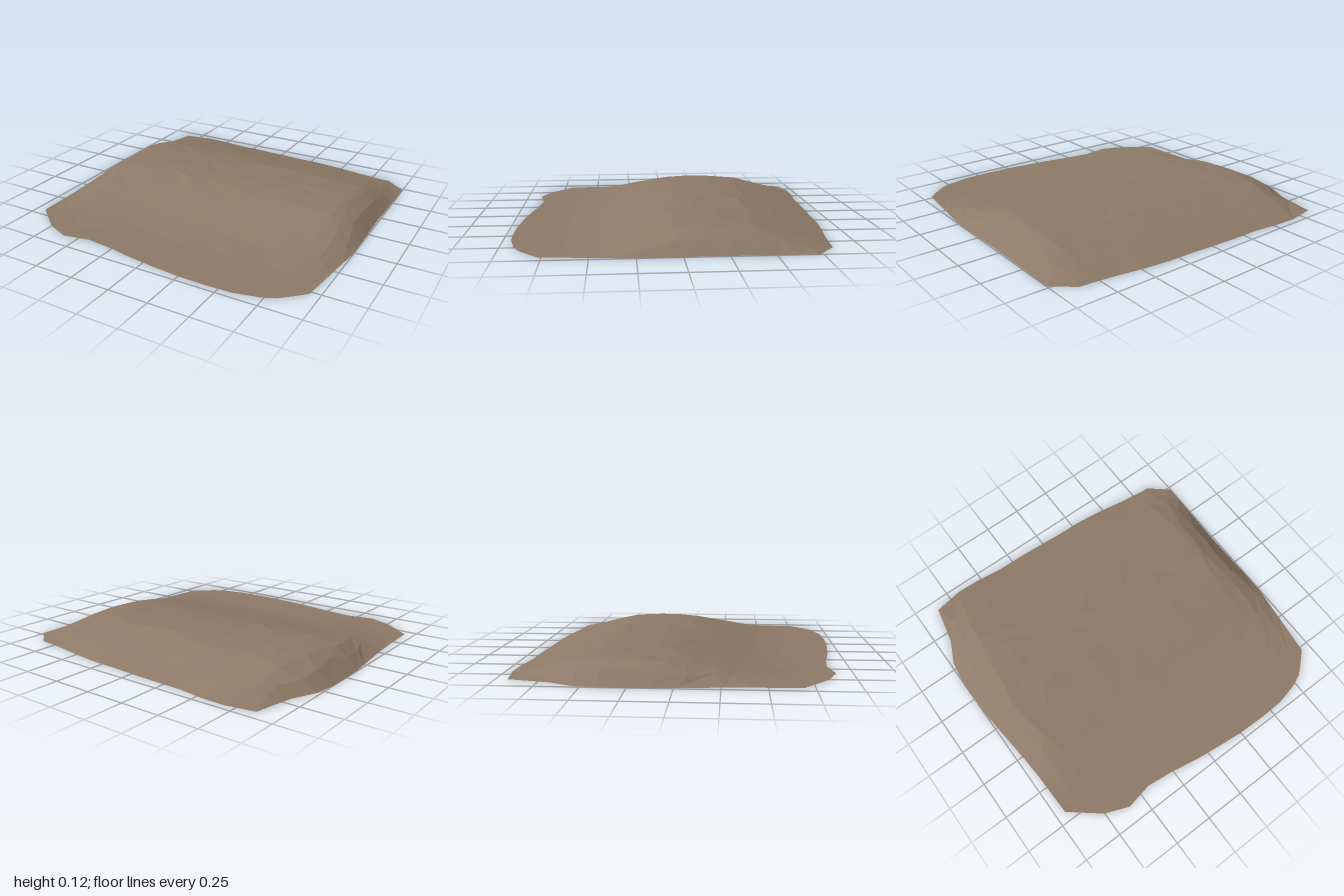
import * as THREE from 'three';

// Piecewise linear lookup in [t, value] pairs
function lookup(table, t) {
  for (let i = 1; i < table.length; i++) {
    const [a, va] = table[i - 1], [b, vb] = table[i];
    if (t <= b) return va + (vb - va) * (t - a) / (b - a);
  }
  return table[table.length - 1][1];
}

// Point on an outline side, spaced evenly along x (axis 0) or z (axis 1)
function along(side, axis, t) {
  const a = side[0][axis], b = side[side.length - 1][axis];
  const s = a + (b - a) * t;
  const other = lookup(side.map(p => [p[axis], p[1 - axis]]), s);
  return axis === 0 ? [s, other] : [other, s];
}

// Ragged outline as [x, z] points
const back = [[-0.86, -0.93], [-0.62, -0.97], [-0.4, -0.935], [-0.08, -0.93], [0.06, -0.915],
  [0.3, -0.91], [0.58, -0.88], [0.7, -0.85], [0.87, -0.84], [1, -0.73]];
const front = [[-0.94, 0.69], [-0.75, 0.845], [-0.61, 0.905], [-0.4, 0.865], [-0.04, 0.93],
  [0.32, 0.965], [0.66, 0.955], [0.82, 0.885], [0.94, 0.77]];
const minusX = [[-0.86, -0.93], [-0.91, -0.69], [-1, -0.5], [-1, -0.15], [-0.95, 0.35], [-0.94, 0.69]];
const plusX = [[1, -0.73], [0.99, -0.2], [1, 0.25], [0.94, 0.77]];

// Height: rise from the back rim (by row), fall to the flat front lip (by z), fall-off at both ends
const backRise = [[0, 0], [0.07, 0.035], [0.15, 0.073], [0.25, 0.112], [0.36, 0.12], [1, 0.12]];
const frontFall = [[-0.2, 0.12], [0, 0.112], [0.2, 0.074], [0.4, 0.035], [0.5, 0.02],
  [0.62, 0.007], [0.75, 0], [1, 0]];
const ends = [[0, 0], [0.05, 0.6], [0.1, 0.95], [0.16, 1], [0.86, 1], [0.9, 0.98],
  [0.935, 0.82], [0.965, 0.55], [1, 0]];

const columns = [0, 0.05, 0.1, 0.18, 0.27, 0.36, 0.45, 0.54, 0.63, 0.72, 0.81, 0.89, 0.93, 0.965, 1];
const rows = [0, 0.07, 0.15, 0.24, 0.33, 0.42, 0.5, 0.58, 0.66, 0.74, 0.83, 0.91, 1];

// Blend the four outline sides across the patch
function patchPoint(u, v) {
  const b = along(back, 0, u), f = along(front, 0, u);
  const l = along(minusX, 1, v), r = along(plusX, 1, v);
  return [0, 1].map(k => (1 - v) * b[k] + v * f[k] + (1 - u) * l[k] + u * r[k]
    - ((1 - u) * (1 - v) * back[0][k] + u * (1 - v) * plusX[0][k]
      + (1 - u) * v * front[0][k] + u * v * plusX[plusX.length - 1][k]));
}

function moundGeometry() {
  let seed = 7;
  const rnd = () => (seed = (seed * 16807) % 2147483647) / 2147483647 - 0.5;
  const pos = [], index = [], w = columns.length;
  rows.forEach((v, j) => columns.forEach((u, i) => {
    const rim = i === 0 || j === 0 || i === w - 1 || j === rows.length - 1;
    // Shift inner points a little for irregular facets
    const uu = rim ? u : u + rnd() * 0.03, vv = rim ? v : v + rnd() * 0.04;
    const [x, z] = patchPoint(uu, vv);
    const height = Math.min(lookup(backRise, vv), lookup(frontFall, z)) * lookup(ends, uu);
    pos.push(x, rim ? 0 : height * (0.985 + rnd() * 0.06), z);
  }));
  for (let j = 0; j < rows.length - 1; j++) {
    for (let i = 0; i < w - 1; i++) {
      const a = j * w + i, b = a + 1, c = a + w, d = c + 1;
      index.push(...(rnd() > 0 ? [a, c, b, b, c, d] : [a, c, d, a, d, b]));
    }
  }
  const g = new THREE.BufferGeometry();
  g.setAttribute('position', new THREE.Float32BufferAttribute(pos, 3));
  g.setIndex(index);
  // Separate the facets so each one is flat
  const flat = g.toNonIndexed();
  flat.computeVertexNormals();
  return flat;
}

export function createModel() {
  const group = new THREE.Group();
  group.name = 'earthMound';
  const earth = new THREE.MeshStandardMaterial({ color: 0x8e7a67, side: THREE.DoubleSide });
  earth.name = 'earth brown';

  // Faceted shell, hollow underneath
  const mound = new THREE.Mesh(moundGeometry(), earth);
  mound.name = 'moundSurface';
  group.add(mound);
  return group;
}
